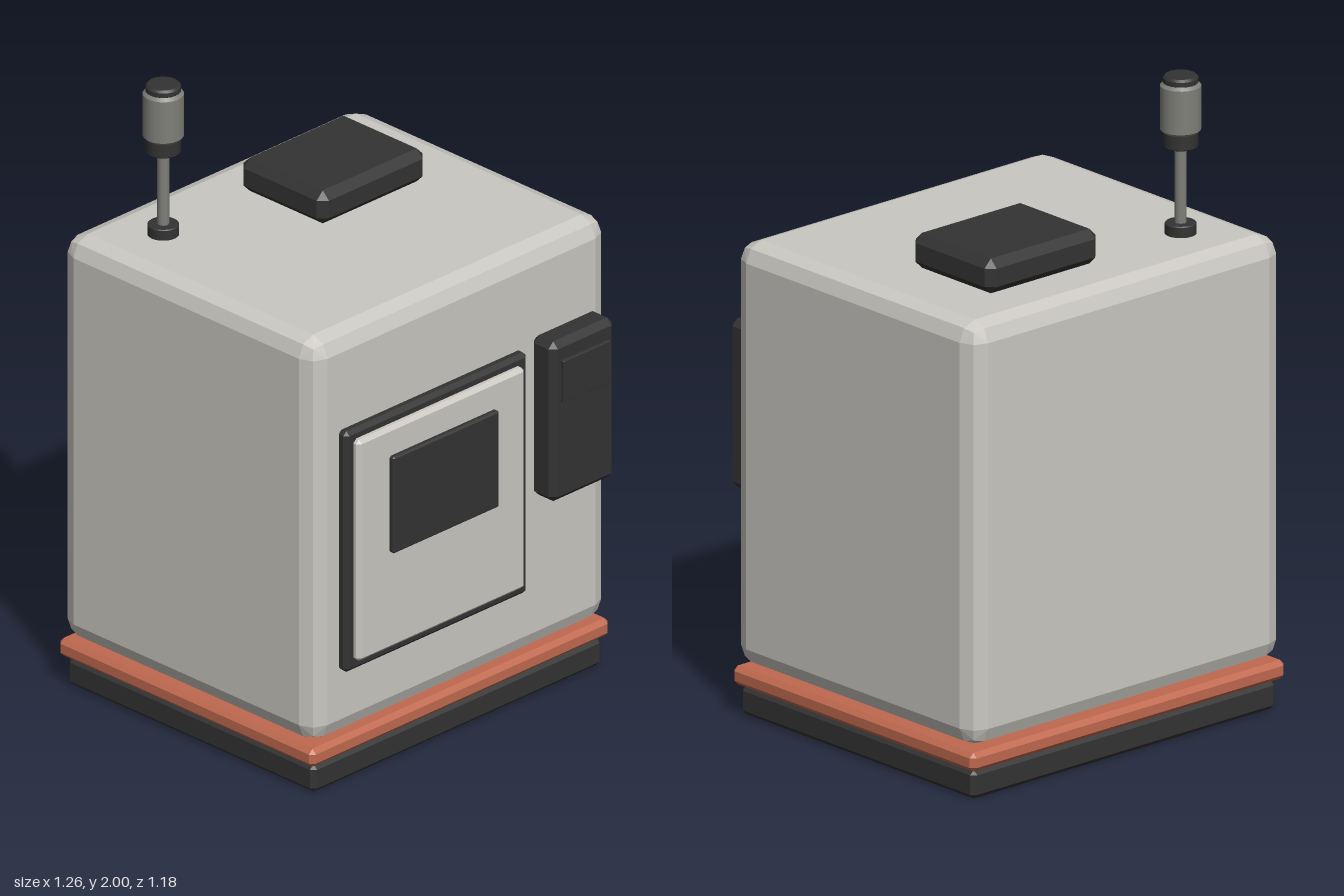
import * as THREE from 'three';
import { ConvexGeometry } from 'three/addons/geometries/ConvexGeometry.js';

const material = (name, color) => {
  const m = new THREE.MeshStandardMaterial({ color });
  m.name = name;
  return m;
};

// Box between two corners with its edges bevelled in one or two steps
function bevelBox([x0, y0, z0], [x1, y1, z1], bevel, steps = 1) {
  const dirs = [[1, 0, 0], [0, 1, 0], [0, 0, 1]];
  if (steps === 2) {
    const h = Math.SQRT1_2, t = 1 / Math.sqrt(3);
    dirs.push([h, h, 0], [h, 0, h], [0, h, h], [t, t, t]);
  }
  const points = [];
  for (const sx of [-1, 1]) for (const sy of [-1, 1]) for (const sz of [-1, 1]) {
    const cx = (sx < 0 ? x0 : x1) - sx * bevel;
    const cy = (sy < 0 ? y0 : y1) - sy * bevel;
    const cz = (sz < 0 ? z0 : z1) - sz * bevel;
    for (const [a, b, c] of dirs) {
      points.push(new THREE.Vector3(cx + sx * a * bevel, cy + sy * b * bevel, cz + sz * c * bevel));
    }
  }
  return new ConvexGeometry(points);
}

// Upright round part with an optional bevel on both rims
function roundPart(radius, y0, y1, bevel) {
  // Repeated points keep the rims sharp
  const p = [[0, y0], [radius - bevel, y0], [radius - bevel, y0], [radius, y0 + bevel], [radius, y0 + bevel],
    [radius, y1 - bevel], [radius, y1 - bevel], [radius - bevel, y1], [radius - bevel, y1], [0, y1]];
  return new THREE.LatheGeometry(p.map(([x, y]) => new THREE.Vector2(x, y)), 20);
}

export function createModel() {
  const model = new THREE.Group();
  model.name = 'kiln';
  const shell = material('warm grey shell', 0xcac8c1);
  const dark = material('charcoal', 0x333333);
  const orange = material('terracotta trim', 0xc0694f);
  const metal = material('mid grey metal', 0x80807a);

  const add = (name, geometry, mat, parent = model) => {
    const mesh = new THREE.Mesh(geometry, mat);
    mesh.name = name;
    parent.add(mesh);
    return mesh;
  };

  // Cabinet and its base
  add('base', bevelBox([-0.61, 0, -0.57], [0.61, 0.092, 0.47], 0.015), dark);
  add('trimBand', bevelBox([-0.63, 0.095, -0.59], [0.63, 0.155, 0.485], 0.015), orange);
  add('cabinet', bevelBox([-0.625, 0.16, -0.585], [0.625, 1.5, 0.483], 0.06, 2), shell);

  // Door: frame, panel and window
  add('doorFrame', bevelBox([-0.52, 0.385, 0.475], [0.248, 1.187, 0.518], 0.013), dark);
  add('doorPanel', bevelBox([-0.49, 0.42, 0.5], [0.215, 1.157, 0.541], 0.012), shell);
  add('doorWindow', bevelBox([-0.36, 0.742, 0.53], [0.087, 1.064, 0.558], 0.006), dark);

  // Control box and its display
  add('controlBox', bevelBox([0.295, 0.68, 0.475], [0.561, 1.212, 0.575], 0.02), dark);
  add('display', bevelBox([0.328, 1.013, 0.565], [0.526, 1.152, 0.587], 0.002), dark);

  // Roof hatch
  add('roofBox', bevelBox([-0.047, 1.5, -0.412], [0.4, 1.61, -0.053], 0.026), dark);

  // Signal mast
  const mast = new THREE.Group();
  mast.name = 'signalMast';
  mast.position.set(-0.405, 0, -0.367);
  model.add(mast);
  add('mastFoot', roundPart(0.048, 1.495, 1.535, 0.003), dark, mast);
  add('mastPole', new THREE.CylinderGeometry(0.018, 0.018, 0.26, 16).translate(0, 1.655, 0), metal, mast);
  add('lampCollar', roundPart(0.053, 1.775, 1.828, 0.003), dark, mast);
  add('lamp', roundPart(0.062, 1.82, 1.978, 0.01), metal, mast);
  add('lampCap', roundPart(0.054, 1.972, 2.0, 0.007), dark, mast);

  return model;
}
